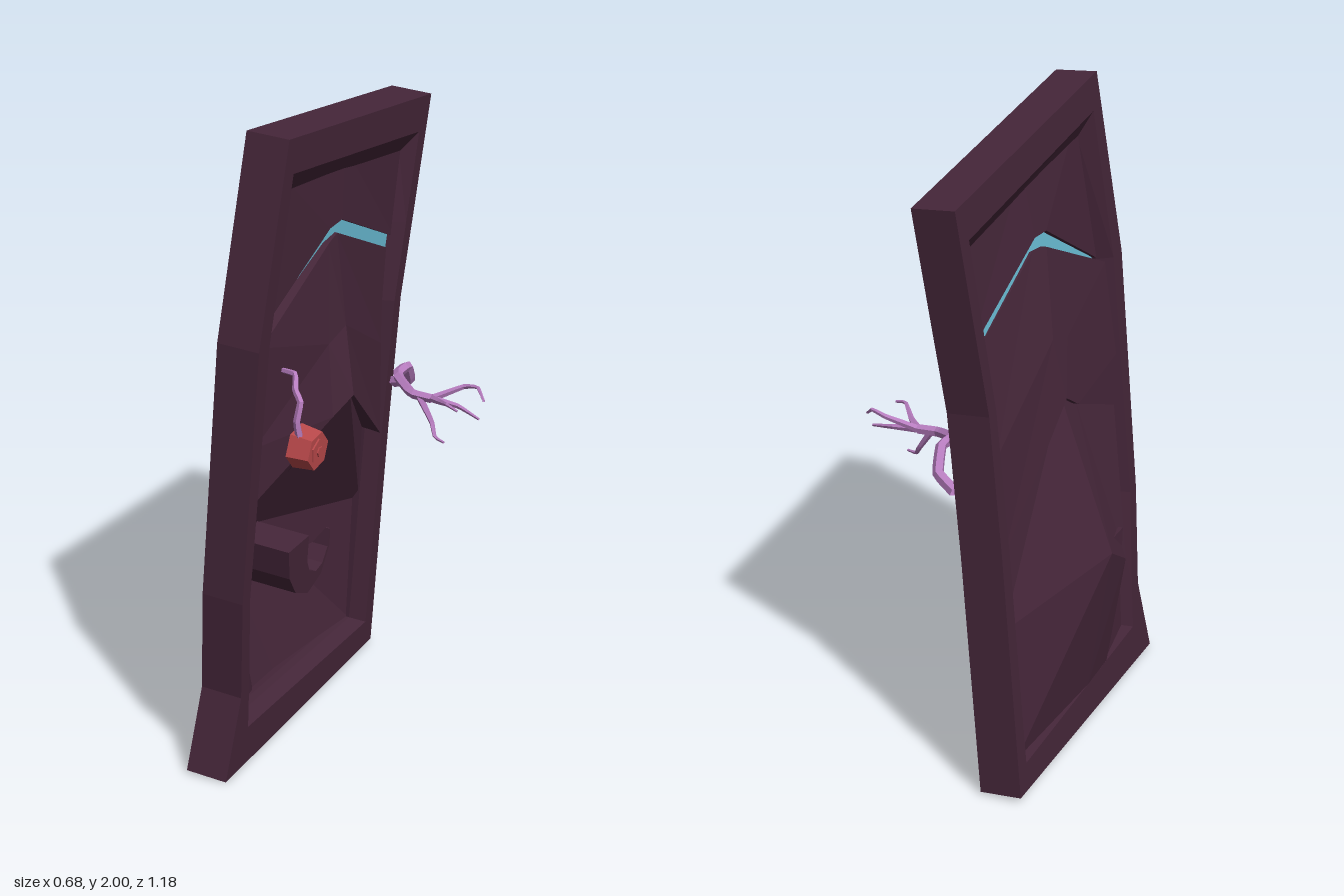
import * as THREE from 'three';

const material = (color) => new THREE.MeshStandardMaterial({ color, flatShading: true, side: THREE.DoubleSide });
const wood = material(0x452639), violet = material(0xb67cbe), red = material(0xb8484a), cyan = material(0x6cc0d8);

// Leaning door space: u across, v up, w through the thickness (0 back, 1 front)
const place = (u, v, w) => [
  -0.256 + 0.2 * u + 0.085 * v + 0.13 * w, v - 0.011 * w, u - 0.026 * w];

function meshFrom(name, positions, mat) {
  const g = new THREE.BufferGeometry();
  g.setAttribute('position', new THREE.Float32BufferAttribute(positions, 3));
  g.computeVertexNormals();
  const m = new THREE.Mesh(g, mat);
  m.name = name;
  return m;
}

const quad = (out, a, b, c, d) => out.push(...a, ...b, ...c, ...a, ...c, ...d);

// Closed slab from rows (top to bottom) of points [u, v, front w, back w]
function slab(name, rows, mat) {
  const out = [], R = rows.length, C = rows[0].length;
  const F = (p) => place(p[0], p[1], p[2]), B = (p) => place(p[0], p[1], p[3]);
  for (let r = 0; r < R - 1; r++) {
    for (let c = 0; c < C - 1; c++) {
      const tl = rows[r][c], tr = rows[r][c + 1], bl = rows[r + 1][c], br = rows[r + 1][c + 1];
      quad(out, F(tl), F(bl), F(br), F(tr));
      quad(out, B(tl), B(tr), B(br), B(bl));
    }
  }
  const rim = [
    ...rows.map((r) => r[0]), ...rows[R - 1].slice(1),
    ...rows.slice(0, -1).reverse().map((r) => r[C - 1]), ...rows[0].slice(1, -1).reverse()];
  rim.forEach((a, i) => {
    const b = rim[(i + 1) % rim.length];
    quad(out, F(a), B(a), B(b), F(b));
  });
  return meshFrom(name, out, mat);
}

// Crooked frame with a bevelled opening on both faces
function frame() {
  const outer = [[0.43, 2.0], [-0.56, 1.89], [-0.5, 1.53], [-0.452, 1.25], [-0.44, 0.8],
    [-0.44, 0.02], [0.59, 0.012], [0.52, 0.27], [0.548, 0.6], [0.54, 1.4]];
  const inner = [[0.39, 1.89], [-0.49, 1.785], [-0.445, 1.5], [-0.405, 1.25], [-0.39, 0.8],
    [-0.385, 0.11], [0.46, 0.14], [0.47, 0.28], [0.5, 0.6], [0.475, 1.4]];
  const deep = inner.map(([u, v]) => [0.04 + (u - 0.04) * 0.96, 1 + (v - 1) * (v > 1.6 ? 0.91 : 0.99)]);
  const sections = [[outer, 0], [outer, 1], [inner, 1], [deep, 0.6], [deep, 0.4], [inner, 0]];
  const out = [];
  sections.forEach(([s, w], j) => {
    const [t, x] = sections[(j + 1) % sections.length];
    s.forEach((a, i) => {
      const k = (i + 1) % s.length;
      quad(out, place(...t[i], x), place(...t[k], x), place(...s[k], w), place(...a, w));
    });
  });
  return meshFrom('frame', out, wood);
}

// Angular limb that tapers from r0 to r1 along its path
function limb(name, points, r0, r1, mat, sides = 5) {
  const curve = new THREE.CatmullRomCurve3(points.map((p) => new THREE.Vector3(...p)), false, 'catmullrom', 0.15);
  const segs = (points.length - 1) * 4;
  const g = new THREE.TubeGeometry(curve, segs, r0, sides, false);
  const pos = g.attributes.position, p = new THREE.Vector3();
  for (let i = 0; i < pos.count; i++) {
    const t = Math.floor(i / (sides + 1)) / segs;
    const c = curve.getPointAt(t);
    p.fromBufferAttribute(pos, i).sub(c).multiplyScalar(1 + (r1 / r0 - 1) * t).add(c);
    pos.setXYZ(i, p.x, p.y, p.z);
  }
  const m = new THREE.Mesh(g, mat);
  m.name = name;
  return m;
}

export function createModel() {
  const door = new THREE.Group();
  door.name = 'crookedDoor';
  door.add(frame());

  // Upper panel, above the slit
  door.add(slab('upperPanel', [
    [[0.4, 1.9, 0.6, 0.4], [0.1, 1.87, 0.66, 0.34], [-0.04, 1.85, 0.66, 0.34], [-0.5, 1.79, 0.6, 0.4]],
    [[0.46, 1.4, 0.62, 0.38], [0.06, 1.625, 0.8, 0.2], [-0.02, 1.63, 0.8, 0.2], [-0.45, 1.445, 0.7, 0.3]],
  ], wood));

  // Glowing chevron slit, set deep between the planks
  door.add(slab('glowingSlit', [
    [[0.45, 1.42, 0.52, 0.48], [0.06, 1.64, 0.64, 0.36], [-0.02, 1.645, 0.64, 0.36], [-0.45, 1.47, 0.62, 0.38]],
    [[0.45, 1.38, 0.52, 0.48], [0.06, 1.56, 0.64, 0.36], [-0.02, 1.57, 0.64, 0.36], [-0.45, 1.38, 0.62, 0.38]],
  ], cyan));

  // Middle chevron plank, its point pushed forward
  door.add(slab('middlePlank', [
    [[0.47, 1.385, 0.8, 0.2], [0.06, 1.575, 0.78, 0.22], [-0.02, 1.585, 0.7, 0.3], [-0.43, 1.41, 0.64, 0.36]],
    [[0.49, 1.08, 0.85, 0.1], [0.1, 1.28, 1.1, 0], [0.0, 1.31, 1.15, 0], [-0.4, 1.1, 0.78, 0.1]],
    [[0.5, 0.9, 0.9, 0.1], [0.12, 1.06, 1.4, -0.1], [0.04, 1.11, 1.6, -0.1], [-0.4, 0.79, 0.95, 0.1]],
  ], wood));

  // Lower panel, dished at the front and swelling outwards at the back
  door.add(slab('lowerPanel', [
    [[0.5, 0.94, 0.45, 0.3], [0.15, 1.07, 1.25, 0.1], [0.04, 1.12, 1.5, 0.05], [-0.4, 0.86, 0.45, 0.3]],
    [[0.5, 0.58, 0.45, 0.3], [0.2, 0.52, -0.66, -0.78], [0.07, 0.6, -0.74, -0.88], [-0.4, 0.55, 0.5, 0.25]],
    [[0.47, 0.13, 0.55, 0.3], [0.24, 0.11, 0.3, 0.05], [0.08, 0.1, 0.3, 0.05], [-0.4, 0.09, 0.6, 0.3]],
  ], wood));

  // Deep crescent knocker standing out of the dished panel
  door.add(slab('crescentKnocker', [
    [[0.21, 0.62, 0.85, -0.72], [0.07, 0.62, 0.85, -0.72]],
    [[0.19, 0.52, 0.85, -0.7], [0.07, 0.53, 0.85, -0.7]],
    [[0.14, 0.45, 0.85, -0.6], [0.05, 0.49, 0.85, -0.6]],
    [[0.05, 0.41, 0.85, -0.4], [0, 0.465, 0.85, -0.4]],
    [[-0.04, 0.44, 0.85, 0], [-0.045, 0.475, 0.85, 0]],
    [[-0.09, 0.52, 0.85, 0.45], [-0.075, 0.52, 0.85, 0.45]],
    [[-0.085, 0.58, 0.85, 0.75], [-0.08, 0.58, 0.85, 0.75]],
  ], wood));

  // Branch-like arm with thin fingers
  const hand = new THREE.Group();
  hand.name = 'branchHand';
  const palm = [0.17, 1.03, -0.25];
  hand.add(limb('arm', [[-0.1, 0.97, -0.43], [-0.025, 1.0, -0.41], [0.0, 1.065, -0.36], [0.01, 1.06, -0.29],
    [0.1, 1.035, -0.24], palm], 0.019, 0.015, violet));
  [
    [palm, [0.25, 1.07, -0.305], [0.3, 1.08, -0.305], [0.34, 1.05, -0.28]],
    [palm, [0.26, 1.02, -0.265], [0.34, 1.0, -0.255]],
    [palm, [0.22, 1.04, -0.22], [0.28, 1.06, -0.17], [0.32, 1.05, -0.165]],
    [[0.13, 1.03, -0.24], [0.18, 0.96, -0.235], [0.21, 0.925, -0.21], [0.25, 0.92, -0.2]],
  ].forEach((path) => hand.add(limb('finger', path, 0.012, 0.004, violet)));
  door.add(hand);

  // Tendril holding the flower
  door.add(limb('tendril', [[0.16, 1.09, 0.4], [0.155, 1.16, 0.412], [0.16, 1.22, 0.4], [0.13, 1.245, 0.385],
    [0.1, 1.275, 0.345], [0.04, 1.27, 0.33]], 0.012, 0.008, violet));

  // Red flower built from nested six-sided petal rings
  const flower = new THREE.Group();
  flower.name = 'flowerKnob';
  [[0.066, 0.058, 0.07, 0], [0.046, 0.04, 0.08, 0.4], [0.022, 0.016, 0.088, 0.8]].forEach(([rb, rf, h, turn]) => {
    const g = new THREE.CylinderGeometry(rf, rb, h, 6);
    g.rotateY(turn);
    g.rotateZ(-Math.PI / 2);
    const m = new THREE.Mesh(g, red);
    m.name = 'petalRing';
    flower.add(m);
  });
  flower.position.set(0.163, 1.07, 0.372);
  flower.rotation.set(0.2, 0.1, -0.08);
  door.add(flower);

  return door;
}
